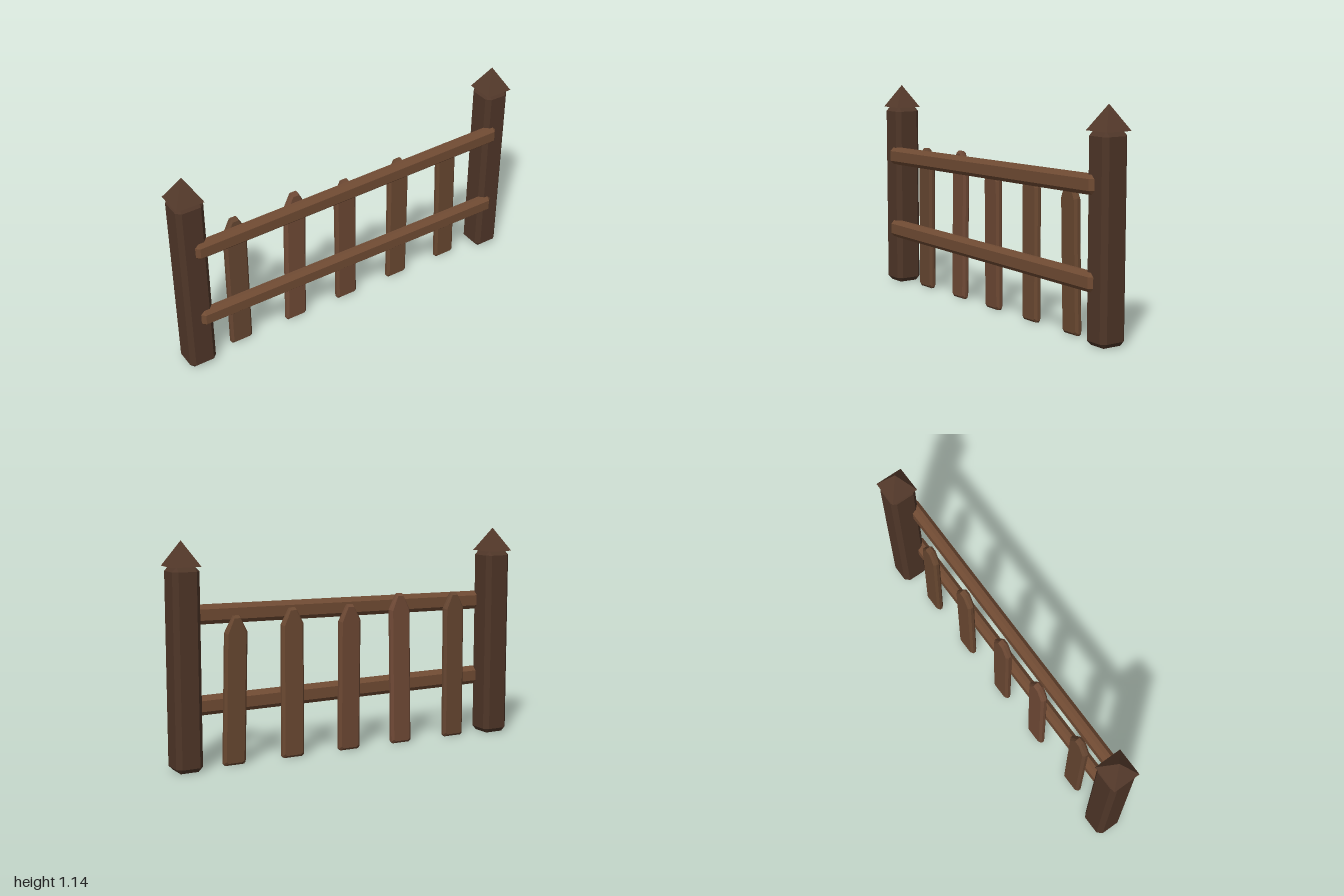
import * as THREE from 'three';
import { ConvexGeometry } from 'three/addons/geometries/ConvexGeometry.js';

const wood = (color) => new THREE.MeshStandardMaterial({ color, flatShading: true });

function addMesh(parent, name, geometry, material, x, y, z) {
  const mesh = new THREE.Mesh(geometry, material);
  mesh.name = name;
  mesh.position.set(x, y, z);
  parent.add(mesh);
  return mesh;
}

// Box with every edge and corner cut by c
function chamferedBox(w, h, d, c) {
  const points = [];
  const [a, b, e] = [w / 2, h / 2, d / 2];
  for (const sx of [-1, 1]) for (const sy of [-1, 1]) for (const sz of [-1, 1]) {
    points.push(
      new THREE.Vector3(sx * a, sy * (b - c), sz * (e - c)),
      new THREE.Vector3(sx * (a - c), sy * b, sz * (e - c)),
      new THREE.Vector3(sx * (a - c), sy * (b - c), sz * e));
  }
  return new ConvexGeometry(points);
}

// Pointed board standing on y = 0; its top leans sideways by `lean`
function picketGeometry(w, h, d, lean) {
  const points = [];
  const c = 0.012;
  const layer = (inset, z) => {
    const half = w / 2 - inset;
    const outline = [
      [half - 0.01, inset], [half, inset + 0.01],
      [half, h - 0.085 - inset * 0.5], [0.016, h - inset],
    ];
    for (const [x, y] of outline) for (const s of [-1, 1]) {
      points.push(new THREE.Vector3(s * x + lean * y / h, y, z));
    }
  };
  for (const s of [-1, 1]) {
    layer(0, s * (d / 2 - c));
    layer(c, s * d / 2);
  }
  return new ConvexGeometry(points);
}

export function createModel() {
  const fence = new THREE.Group();
  fence.name = 'fence';
  const postWood = wood(0x4f3628);
  const capWood = wood(0x553a2b);
  const railWood = wood(0x704b33);

  // Posts with pyramid caps
  for (const [side, x, width] of [['right', -0.921, 0.15], ['left', 0.921, 0.142]]) {
    addMesh(fence, side + 'Post', chamferedBox(width, 1.02, 0.15, 0.024), postWood, x, 0.51, -0.01);
    const cap = new THREE.ConeGeometry(0.15 / Math.SQRT2, 0.125, 4);
    cap.rotateY(Math.PI / 4);
    addMesh(fence, side + 'PostCap', cap, capWood, x + Math.sign(x) * 0.003, 1.0815, -0.01);
  }

  // Horizontal rails, each slightly tilted
  const rails = [['topRail', 0.755, 0.016], ['bottomRail', 0.312, -0.005]];
  for (const [name, y, tilt] of rails) {
    const rail = addMesh(fence, name, chamferedBox(1.84, 0.098, 0.064, 0.021), railWood, -0.002, y, 0.052);
    rail.rotation.z = tilt;
  }

  // Pickets: x at the foot, height, sideways lean, width, colour
  const pickets = [
    [-0.665, 0.80, 0.002, 0.125, 0x664631],
    [-0.328, 0.815, 0.014, 0.122, 0x704a36],
    [-0.004, 0.775, -0.007, 0.125, 0x6c4833],
    [0.329, 0.78, -0.003, 0.125, 0x6b4932],
    [0.661, 0.76, -0.022, 0.122, 0x684730],
  ];
  pickets.forEach(([x, height, lean, width, color], i) => {
    addMesh(fence, 'picket' + (i + 1), picketGeometry(width, height, 0.04, lean), wood(color), x, 0, -0.015);
  });

  return fence;
}
